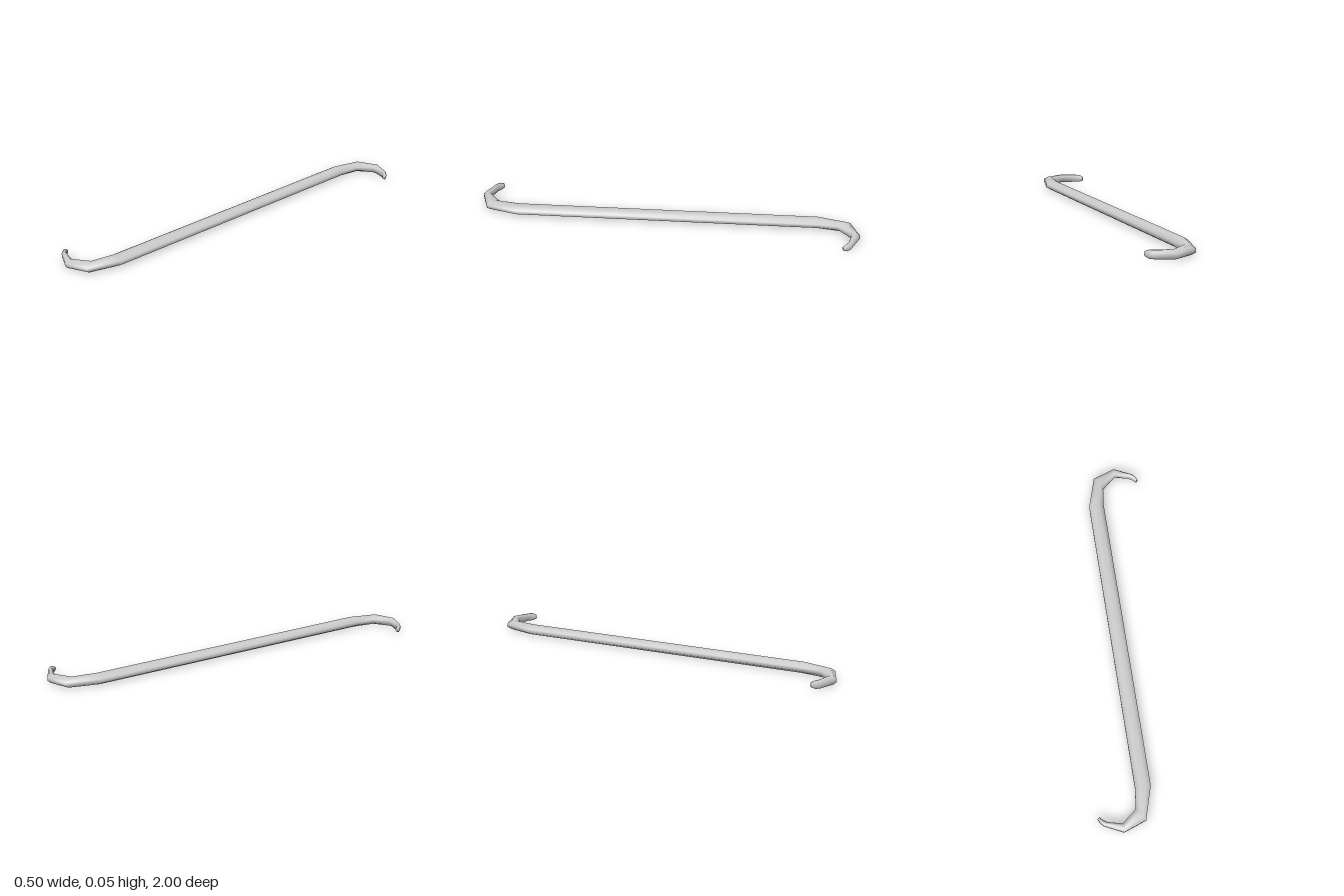
import * as THREE from 'three';

const SIDES = 8;
const MID_Y = 0.024;

// Half of the bar, shaft to hook tip: left x, left z, right x, right z, height
const half = [
  [-0.04, -0.79, 0.04, -0.79, 0.048],
  [0.01, -0.957, 0.053, -0.895, 0.046],
  [0.127, -1.0, 0.127, -0.957, 0.043],
  [0.222, -0.954, 0.203, -0.937, 0.041],
  [0.238, -0.937, 0.222, -0.923, 0.04],
  [0.248, -0.917, 0.236, -0.907, 0.022],
];

// The other half is the same bar turned half a circle about y
const turned = half.map(([lx, lz, rx, rz, h]) => [-rx, -rz, -lx, -lz, h]).reverse();

function loft(sections) {
  const pos = [], idx = [];
  const r = 1 / Math.cos(Math.PI / SIDES);
  for (const [lx, lz, rx, rz, h] of sections) {
    for (let j = 0; j < SIDES; j++) {
      const a = ((j + 0.5) / SIDES) * Math.PI * 2;
      const u = 0.5 + 0.5 * r * Math.cos(a);
      pos.push(lx + (rx - lx) * u, MID_Y + 0.5 * h * r * Math.sin(a), lz + (rz - lz) * u);
    }
  }
  for (let i = 0; i < sections.length - 1; i++) {
    for (let j = 0; j < SIDES; j++) {
      const k = (j + 1) % SIDES;
      const a = i * SIDES + j, b = i * SIDES + k;
      const c = b + SIDES, d = a + SIDES;
      idx.push(a, d, c, a, c, b);
    }
  }
  // Closed tips
  const last = (sections.length - 1) * SIDES;
  for (let j = 1; j < SIDES - 1; j++) {
    idx.push(0, j, j + 1, last, last + j + 1, last + j);
  }
  const g = new THREE.BufferGeometry();
  g.setAttribute('position', new THREE.Float32BufferAttribute(pos, 3));
  g.setIndex(idx);
  g.computeVertexNormals();
  return g;
}

export function createModel() {
  const group = new THREE.Group();
  group.name = 'doubleHook';
  const bar = new THREE.Mesh(
    loft([...turned, ...half]),
    new THREE.MeshStandardMaterial({ color: 0xcccccc })
  );
  bar.name = 'hookedBar';
  group.add(bar);
  return group;
}
